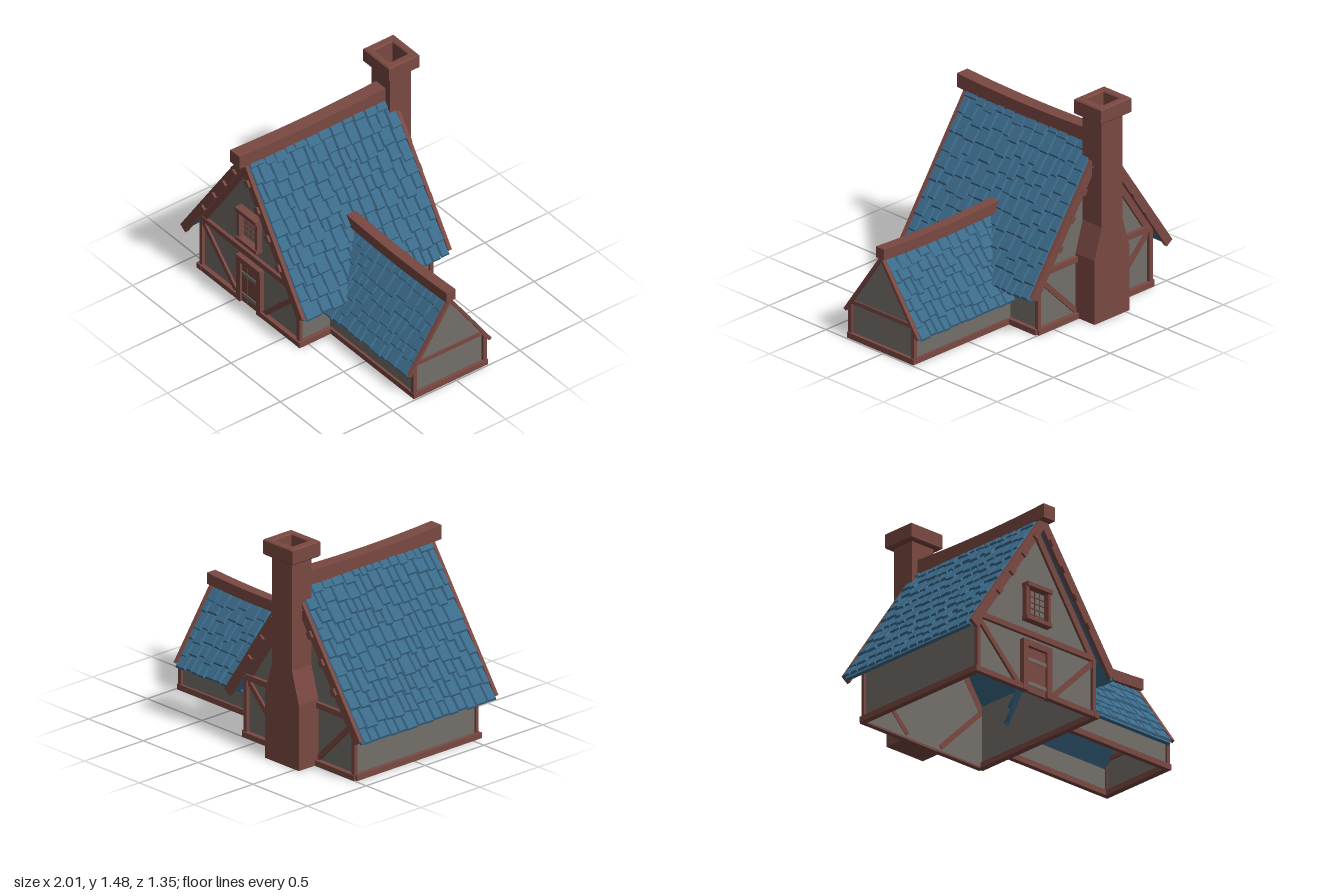
import * as THREE from 'three';
import { mergeGeometries } from 'three/addons/utils/BufferGeometryUtils.js';

const material = (name, color, side = THREE.FrontSide) => {
  const m = new THREE.MeshStandardMaterial({ color, side });
  m.name = name;
  return m;
};

export function createModel() {
  const timber = material('red brown timber', 0x7a4842);
  const slate = material('blue slate', 0x3b6a8a);
  const plaster = material('grey plaster', 0x736e69, THREE.DoubleSide);

  let seed = 7;
  const rand = (a, b) => {
    seed = (seed * 16807) % 2147483647;
    return a + (b - a) * (seed / 2147483647);
  };

  const add = (parent, name, geo, mat) => {
    const mesh = new THREE.Mesh(geo, mat);
    mesh.name = name;
    parent.add(mesh);
    return mesh;
  };
  const box = (parent, name, mat, x0, x1, y0, y1, z0, z1) => add(parent, name,
    new THREE.BoxGeometry(x1 - x0, y1 - y0, z1 - z0).translate((x0 + x1) / 2, (y0 + y1) / 2, (z0 + z1) / 2), mat);
  // Slanted board in the xy plane between two points
  const board = (parent, name, ax, ay, bx, by, width, z, depth) => add(parent, name,
    new THREE.BoxGeometry(Math.hypot(bx - ax, by - ay), width, depth)
      .rotateZ(Math.atan2(by - ay, bx - ax)).translate((ax + bx) / 2, (ay + by) / 2, z), timber);
  const polygon = (pts) => new THREE.Shape(pts.map(([x, y]) => new THREE.Vector2(x, y)));

  // Both roof slopes: slab plus rows of bevelled slates, ridge along z
  function roof(parent, { H, k, run, start0, start1, end, rows }) {
    const c = 1 / Math.hypot(1, k), sn = k * c, L = run / c, pitch = L / rows;
    for (const s of [1, -1]) {
      const frame = new THREE.Matrix4().makeBasis(
        new THREE.Vector3(0, 0, s), new THREE.Vector3(s * c, -sn, 0), new THREE.Vector3(s * sn, c, 0));
      frame.setPosition(0, H, 0);
      const slab = new THREE.ExtrudeGeometry(
        polygon([[s * start0, 0], [s * end, 0], [s * end, L - 0.015], [s * start1, L - 0.015]]),
        { depth: 0.02, bevelEnabled: false }).translate(0, 0, -0.02);
      add(parent, 'roofSlab', slab.applyMatrix4(frame), slate);

      const tiles = [];
      for (let r = 0; r < rows; r++) {
        const bottom = (r + 1) * pitch;
        let z = start0 + (start1 - start0) * (r + 0.5) / rows;
        while (z < end - 0.005) {
          let w = rand(0.05, 0.1);
          if (end - z - w < 0.04) w = end - z;
          const low = r === rows - 1 ? bottom - rand(0, 0.012) : bottom + rand(-0.025, 0.025);
          const len = low - Math.max(0, bottom - pitch * 1.45);
          const g = new THREE.BoxGeometry(w - 0.003, len, 0.015);
          const p = g.attributes.position;
          for (let i = 0; i < p.count; i++) if (p.getZ(i) > 0) {
            p.setX(i, p.getX(i) - Math.sign(p.getX(i)) * 0.007);
            if (p.getY(i) > 0) p.setY(i, p.getY(i) - 0.009);
          }
          g.computeVertexNormals();
          g.rotateX(0.09 + rand(0, 0.03)).translate(s * (z + w / 2), low - len / 2, 0.011 + rand(0, 0.003));
          tiles.push(g);
          z += w;
        }
      }
      add(parent, 'roofSlates', mergeGeometries(tiles).applyMatrix4(frame), slate);
    }
  }

  // Gently sagging ridge beam along z
  function ridge(parent, w, y0, y1, z0, z1) {
    const g = new THREE.BoxGeometry(w, y1 - y0, z1 - z0, 1, 1, 10);
    const p = g.attributes.position;
    for (let i = 0; i < p.count; i++) {
      const t = p.getZ(i) / ((z1 - z0) / 2);
      p.setY(i, p.getY(i) - 0.016 * (1 - t * t));
    }
    g.computeVertexNormals();
    add(parent, 'ridgeBeam', g.translate(0, (y0 + y1) / 2, (z0 + z1) / 2), timber);
  }

  const gable = (parent, half, eave, apex, z) => add(parent, 'gableWall', new THREE.ShapeGeometry(
    polygon([[-half, 0.01], [half, 0.01], [half, eave], [0, apex], [-half, eave]])).translate(0, 0, z), plaster);
  const sideWall = (parent, x, h, z0, z1) => add(parent, 'sideWall',
    new THREE.PlaneGeometry(z1 - z0, h).rotateY(Math.PI / 2).translate(x, h / 2 + 0.01, (z0 + z1) / 2), plaster);

  const model = new THREE.Group();
  model.name = 'cottage';

  // ---- Main house ----
  const house = new THREE.Group();
  house.name = 'mainHouse';
  house.position.x = -0.38;
  model.add(house);
  roof(house, { H: 1.2, k: 1.5, run: 0.62, start0: -0.53, start1: -0.53, end: 0.6, rows: 10 });
  ridge(house, 0.095, 1.168, 1.262, -0.5, 0.675);

  for (const s of [1, -1]) {
    sideWall(house, s * 0.495, 0.42, -0.465, 0.54);
    box(house, 'baseBeam', timber, s * 0.505 - 0.02, s * 0.505 + 0.02, 0, 0.038, -0.49, 0.572);
  }
  // Timber framing, the same on both gables
  for (const [wallZ, edgeZ, d] of [[0.54, 0.6, 1], [-0.465, -0.53, -1]]) {
    gable(house, 0.495, 0.42, 1.165, wallZ);
    const za = wallZ + d * 0.005, slab = (n, x0, x1, y0, y1, t) =>
      box(house, n, timber, x0, x1, y0, y1, Math.min(za, za + d * t) - 0.008, Math.max(za, za + d * t));
    slab('crossBeam', -0.49, 0.49, 0.385, 0.423, 0.018);
    for (const s of [1, -1]) {
      const a = s * 0.51, b = s * 0.12;
      slab('baseBeam', Math.min(a, b), Math.max(a, b), 0, 0.036, 0.026);
      const px = s * 0.508, qx = s * 0.48;
      slab('cornerPost', Math.min(px, qx), Math.max(px, qx), 0.02, 0.4, 0.016);
      board(house, 'diagonalBrace', s * 0.485, 0.375, s * 0.14, 0.03, 0.034, wallZ + d * 0.006, 0.02);
      board(house, 'gableTrim', 0, 1.125, s * 0.5, 0.375, 0.05, wallZ + d * 0.008, 0.02);
      board(house, 'bargeBoard', 0, 1.165, s * 0.595, 0.2875, 0.06, edgeZ + d * 0.012, 0.026);
      // Pegs on the barge boards
      for (const x of [0.07, 0.17, 0.275, 0.385]) {
        const peg = add(house, 'roofPeg', new THREE.BoxGeometry(0.045, 0.038, 0.03), timber);
        peg.position.set(s * x, 1.15 - 1.5 * x, edgeZ + d * 0.026);
        peg.rotation.z = -s * Math.atan(1.5);
      }
    }
  }

  // Door
  for (const s of [1, -1]) {
    const x = s * 0.102;
    box(house, 'doorJamb', timber, x - 0.02, x + 0.02, 0, 0.33, 0.53, 0.573);
  }
  box(house, 'doorLintel', timber, -0.122, 0.122, 0.308, 0.35, 0.53, 0.574);
  for (let i = 0; i < 3; i++)
    box(house, 'doorPlank', timber, -0.08 + i * 0.054, -0.028 + i * 0.054, 0.002, 0.305, 0.535, 0.556);
  for (const y of [0.06, 0.225])
    box(house, 'doorStrap', plaster, -0.08, 0.08, y - 0.013, y + 0.013, 0.556, 0.562);

  // Window
  for (const s of [1, -1])
    box(house, 'windowJamb', timber, s * 0.092 - 0.012, s * 0.092 + 0.012, 0.49, 0.735, 0.535, 0.58);
  box(house, 'windowHeader', timber, -0.105, 0.105, 0.712, 0.74, 0.535, 0.595);
  box(house, 'windowSill', timber, -0.105, 0.105, 0.485, 0.51, 0.535, 0.59);
  for (let i = 1; i < 4; i++) {
    const x = -0.08 + i * 0.04;
    box(house, 'windowBar', timber, x - 0.003, x + 0.003, 0.51, 0.712, 0.538, 0.546);
  }
  for (let i = 1; i < 5; i++) {
    const y = 0.51 + i * 0.0404;
    box(house, 'windowBar', timber, -0.08, 0.08, y - 0.003, y + 0.003, 0.538, 0.546);
  }

  // ---- Chimney ----
  const chimney = new THREE.Group();
  chimney.name = 'chimney';
  chimney.position.set(-0.38, 0, -0.557);
  model.add(chimney);
  add(chimney, 'chimneyStack', new THREE.ExtrudeGeometry(polygon([
    [-0.155, 0], [0.155, 0], [0.155, 0.44], [0.092, 0.65], [0.092, 1.1], [-0.092, 1.1], [-0.092, 0.65], [-0.155, 0.44],
  ]), { depth: 0.166, bevelEnabled: false }).translate(0, 0, -0.083), timber);
  const collar = (name, hx, hz, y0, y1, bevel) => {
    const ring = polygon([[-hx, -hz], [hx, -hz], [hx, hz], [-hx, hz]]);
    ring.holes.push(polygon([[-0.078, -0.07], [-0.078, 0.07], [0.078, 0.07], [0.078, -0.07]]));
    add(chimney, name, new THREE.ExtrudeGeometry(ring, {
      depth: y1 - y0 - 2 * bevel, bevelEnabled: bevel > 0, bevelThickness: bevel, bevelSize: bevel,
      bevelOffset: -bevel, bevelSegments: 1,
    }).rotateX(-Math.PI / 2).translate(0, y0 + bevel, 0), timber);
  };
  collar('chimneyFlue', 0.092, 0.083, 1.1, 1.4, 0);
  collar('chimneyCap', 0.134, 0.12, 1.378, 1.483, 0.008);
  box(chimney, 'flueFloor', slate, -0.078, 0.078, 1.1, 1.108, -0.07, 0.07);

  // ---- Side wing: local z runs along the model's x ----
  const wing = new THREE.Group();
  wing.name = 'sideWing';
  wing.position.z = 0.035;
  wing.rotation.y = Math.PI / 2;
  model.add(wing);
  roof(wing, { H: 0.62, k: 1.45, run: 0.32, start0: 0.0, start1: 0.13, end: 0.963, rows: 6 });
  ridge(wing, 0.072, 0.638, 0.712, -0.025, 0.992);
  gable(wing, 0.275, 0.225, 0.63, 0.966);
  box(wing, 'baseBeam', timber, -0.292, 0.292, 0, 0.038, 0.95, 0.99);
  box(wing, 'crossBeam', timber, -0.27, 0.27, 0.236, 0.264, 0.955, 0.975);
  for (const s of [1, -1]) {
    const x = s * 0.275;
    sideWall(wing, x, 0.21, 0.115, 0.966);
    box(wing, 'baseBeam', timber, x - 0.017, x + 0.017, 0, 0.038, 0.11, 0.99);
    box(wing, 'cornerPost', timber, x - 0.014, x + 0.014, 0.03, 0.235, 0.955, 0.982);
    board(wing, 'bargeBoard', 0, 0.637, s * 0.315, 0.185, 0.022, 0.973, 0.028);
  }

  return model;
}
